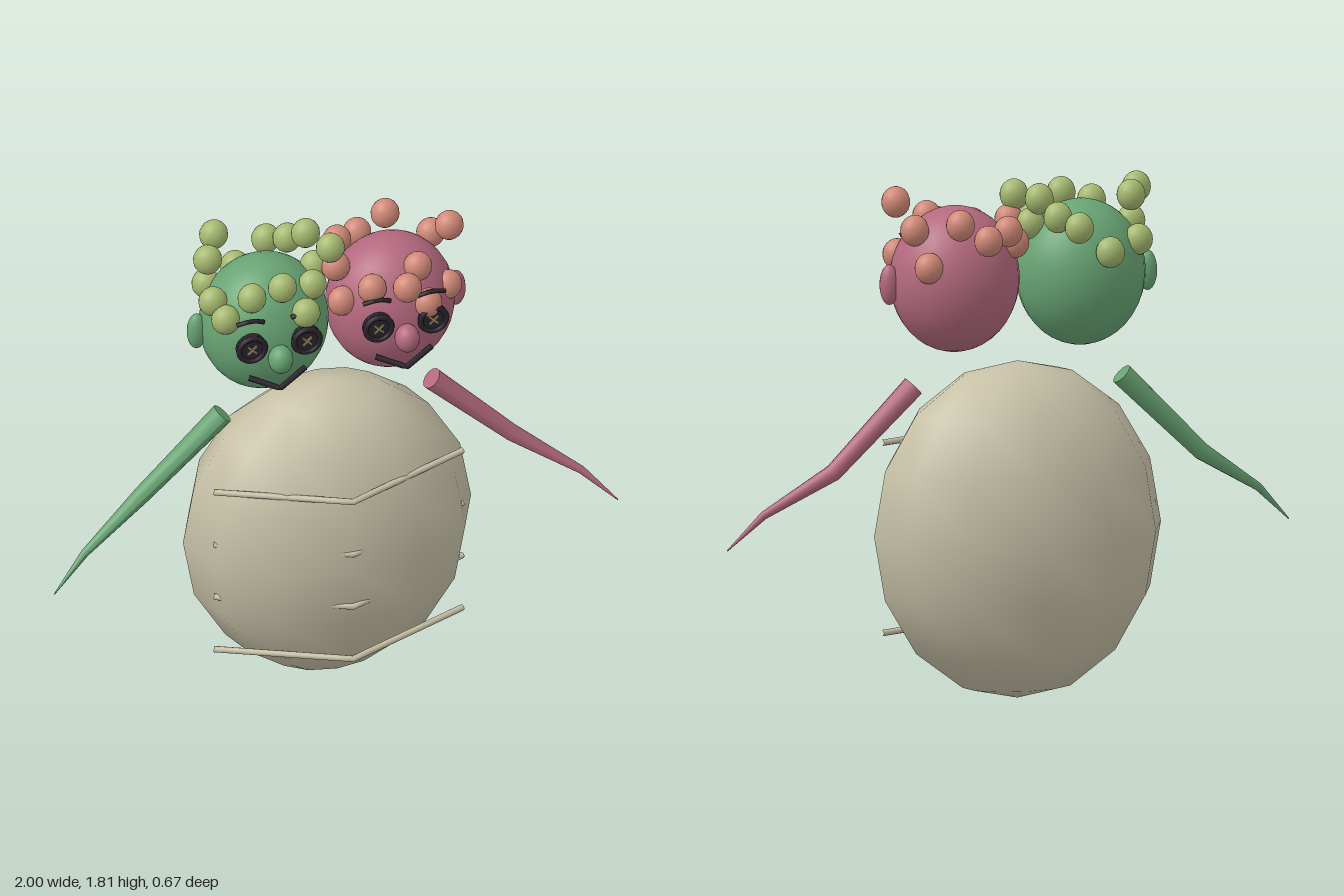
import * as THREE from 'three';

const mat = (name, color, side = THREE.FrontSide) => {
  const m = new THREE.MeshStandardMaterial({ color, side });
  m.name = name;
  return m;
};

function add(parent, name, geometry, material, pos = [0, 0, 0], scale = [1, 1, 1]) {
  const mesh = new THREE.Mesh(geometry, material);
  mesh.name = name;
  mesh.position.set(...pos);
  mesh.scale.set(...scale);
  parent.add(mesh);
  return mesh;
}

// Round bar following straight segments through the given points
function bar(points, radius) {
  const path = new THREE.CurvePath();
  const v = points.map((p) => new THREE.Vector3(...p));
  for (let i = 1; i < v.length; i++) path.add(new THREE.LineCurve3(v[i - 1], v[i]));
  return new THREE.TubeGeometry(path, 16, radius, 8);
}

// Tapered limb: the rows of a cylinder are moved onto a bent path
function limb(points, radii) {
  const v = points.map((p) => new THREE.Vector3(...p));
  const n = v.length - 1;
  const geo = new THREE.CylinderGeometry(1, 1, 1, 12, n);
  const pos = geo.attributes.position;
  const frames = v.map((p, i) => {
    const dir = v[Math.max(i - 1, 0)].clone().sub(v[Math.min(i + 1, n)]).normalize();
    return new THREE.Quaternion().setFromUnitVectors(new THREE.Vector3(0, 1, 0), dir);
  });
  const p = new THREE.Vector3();
  for (let i = 0; i < pos.count; i++) {
    const row = Math.round((0.5 - pos.getY(i)) * n);
    p.set(pos.getX(i), 0, pos.getZ(i)).multiplyScalar(radii[row]);
    p.applyQuaternion(frames[row]).add(v[row]);
    pos.setXYZ(i, p.x, p.y, p.z);
  }
  geo.computeVertexNormals();
  return geo;
}

// Curl centres [x, y, z]
const GREEN_CURLS = [
  [-0.27, 1.57, -0.2], [-0.16, 1.66, -0.2], [-0.36, 1.755, -0.145], [-0.1, 1.69, -0.145],
  [-0.4, 1.59, -0.1], [-0.053, 1.745, -0.08], [-0.42, 1.755, -0.01], [-0.04, 1.65, -0.02],
  [0.005, 1.745, 0.025], [-0.42, 1.625, 0.055], [-0.39, 1.58, 0.11], [-0.31, 1.685, 0.155],
  [-0.205, 1.715, 0.165], [-0.12, 1.59, 0.16], [-0.075, 1.645, 0.08],
];
const PINK_CURLS = [
  [0.16, 1.63, -0.19], [0.26, 1.69, -0.19], [0.075, 1.65, -0.14], [0.36, 1.54, -0.15],
  [0.39, 1.66, -0.08], [0.035, 1.6, -0.085], [0.43, 1.745, 0.01], [0.025, 1.66, 0.02],
  [0.405, 1.55, 0.08], [0.03, 1.555, 0.08], [0.12, 1.63, 0.14], [0.235, 1.635, 0.175],
  [0.31, 1.55, 0.165], [0.29, 1.67, 0.11],
];

export function createModel() {
  const model = new THREE.Group();
  model.name = 'twoHeadedCreature';

  const cream = mat('cream', 0xc6c0a6);
  const green = mat('green', 0x68a473);
  const pink = mat('pink', 0xb4697f);
  const curlGreen = mat('curlGreen', 0xa6b970);
  const curlPink = mat('curlPink', 0xd08877);
  const black = mat('black', 0x2a222c);
  const thread = mat('thread', 0xa09468);

  const ball = new THREE.SphereGeometry(1, 28, 20);
  const smallBall = new THREE.SphereGeometry(1, 16, 12);

  // Egg-shaped body with ribs bent round its front
  add(model, 'body', new THREE.SphereGeometry(1, 12, 8), cream, [0, 0.588, 0], [0.51, 0.585, 0.335]);
  const rib = bar([[-0.44, 0, 0.14], [0, 0, 0.325], [0.44, 0, 0.14]], 0.011);
  for (const y of [0.885, 0.665, 0.445, 0.225]) add(model, 'rib', rib, cream, [0, y, 0]);

  // Shared face pieces
  const button = new THREE.CylinderGeometry(0.053, 0.053, 0.024, 24).rotateX(Math.PI / 2);
  const rim = new THREE.TorusGeometry(0.046, 0.01, 8, 24);
  const stitch = new THREE.BoxGeometry(0.045, 0.007, 0.006);
  const brow = bar([[-0.048, -0.012, -0.008], [-0.015, 0.004, 0], [0.015, 0.004, 0], [0.048, -0.008, -0.008]], 0.008);
  const mouth = bar([[-0.1, 0.025, -0.03], [0, -0.01, 0.01], [0.1, 0.03, -0.03]], 0.01);

  const sides = [
    { s: -1, name: 'green', skin: green, hair: curlGreen, curls: GREEN_CURLS },
    { s: 1, name: 'pink', skin: pink, hair: curlPink, curls: PINK_CURLS },
  ];
  for (const { s, name, skin, hair, curls } of sides) {
    // Head with one outer ear and a nose
    const head = new THREE.Group();
    head.name = name + 'Head';
    head.position.set(s * 0.224, 1.47, 0);
    model.add(head);
    add(head, 'skull', ball, skin, [0, 0, -0.002], [0.224, 0.252, 0.195]);
    add(head, 'ear', smallBall, skin, [s * 0.235, -0.007, -0.01], [0.034, 0.07, 0.03]);
    add(head, 'nose', smallBall, skin, [0, -0.02, 0.21], [0.043, 0.052, 0.045]);
    add(head, 'mouth', mouth, black, [0, -0.135, 0.195]);

    // Button eyes with crossed stitches, and brows
    for (const e of [-1, 1]) {
      const eye = new THREE.Group();
      eye.name = 'buttonEye';
      eye.position.set(e * 0.097, 0.03, 0.187);
      head.add(eye);
      add(eye, 'button', button, black);
      add(eye, 'rim', rim, black, [0, 0, 0.01]);
      for (const a of [-1, 1]) add(eye, 'stitch', stitch, thread, [0, 0, 0.014]).rotation.z = a * Math.PI / 4;
      add(head, 'brow', brow, black, [e * 0.097, 0.132, 0.18], [e, 1, 1]);
    }

    // Ball curls
    const curlGroup = new THREE.Group();
    curlGroup.name = name + 'Curls';
    model.add(curlGroup);
    for (const c of curls) add(curlGroup, 'curl', smallBall, hair, c, [0.05, 0.054, 0.045]);

    // Bent arm tapering to a point
    const arm = limb(
      [[s * 0.37, 1.105, 0], [s * 0.655, 0.82, 0], [s * 0.88, 0.67, 0.075], [s * 0.998, 0.547, 0.112]],
      [0.039, 0.03, 0.014, 0.002],
    );
    add(model, name + 'Arm', arm, skin);
  }
  return model;
}
